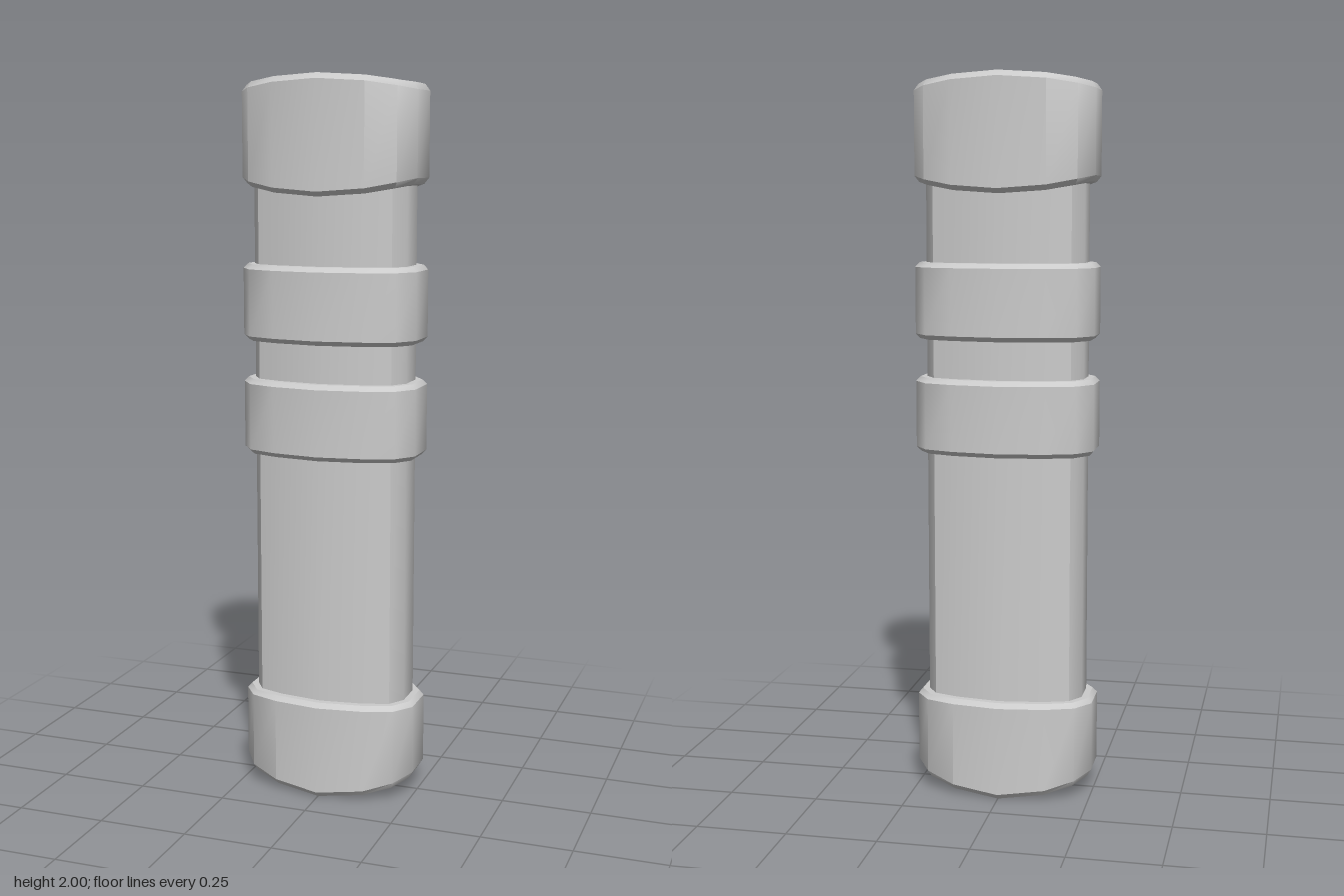
import * as THREE from 'three';
import { toCreasedNormals } from 'three/addons/utils/BufferGeometryUtils.js';

// Quarter outlines [x, z] of the outermost and innermost oval sections
const OUTER = [[0.25, 0.055], [0.21, 0.111], [0.13, 0.14], [0, 0.158]];
const INNER = [[0.207, 0.038], [0.183, 0.077], [0.118, 0.097], [0, 0.113]];
const N = 14;
const BEVEL = 0.28; // blend amounts between outer and inner outline
const TUBE = 0.69;

// One 14-sided ring; lift raises it towards the narrow sides
function ring([t, y, lift = 0]) {
  const quarter = OUTER.map(([x, z], i) => [
    THREE.MathUtils.lerp(x, INNER[i][0], t),
    THREE.MathUtils.lerp(z, INNER[i][1], t),
  ]);
  const back = [...quarter, ...quarter.slice(0, 3).reverse().map(([x, z]) => [-x, z])];
  const outline = [...back.map(([x, z]) => [x, -z]), ...back.slice().reverse()];
  return outline.flatMap(([x, z]) => [x, y + lift * (x / 0.25) ** 2, z]);
}

// Skin a list of rings, optionally closing the first or last ring
function loft(name, rings, material, { capStart = false, capEnd = false } = {}) {
  const index = [];
  for (let i = 0; i < rings.length - 1; i++) {
    for (let j = 0; j < N; j++) {
      const a = i * N + j, b = i * N + (j + 1) % N;
      index.push(a, b, b + N, a, b + N, a + N);
    }
  }
  // Caps are strips running across the oval, so they follow its curve
  for (let j = 0; j < N / 2 - 1; j++) {
    const a = j, b = j + 1, c = N - 2 - j, d = N - 1 - j;
    if (capStart) index.push(a, c, b, a, d, c);
    const o = (rings.length - 1) * N;
    if (capEnd) index.push(o + a, o + b, o + c, o + a, o + c, o + d);
  }
  const geometry = new THREE.BufferGeometry();
  geometry.setAttribute('position', new THREE.Float32BufferAttribute(rings.flatMap(ring), 3));
  geometry.setIndex(index);
  const mesh = new THREE.Mesh(toCreasedNormals(geometry, 0.67), material);
  mesh.name = name;
  return mesh;
}

export function createModel() {
  const group = new THREE.Group();
  group.name = 'sheath';
  const material = new THREE.MeshStandardMaterial({ color: 0xcccccc });

  // Long oval tube
  group.add(loft('body', [[TUBE, 0.25], [TUBE, 1.74]], material));

  // Closed end cap with a curved underside
  group.add(loft('endCap', [
    [BEVEL, 0, 0.055], [0, 0.015, 0.055], [0, 0.265], [BEVEL, 0.278], [TUBE, 0.278],
  ], material, { capStart: true }));

  // Two raised bands
  for (const [name, y] of [['lowerBand', 0.968], ['upperBand', 1.284]]) {
    group.add(loft(name, [
      [TUBE, y], [BEVEL, y], [0, y + 0.013], [0, y + 0.197], [BEVEL, y + 0.21], [TUBE, y + 0.21],
    ], material));
  }

  // Mouth collar, its rim, and the hollow inside down to the floor
  group.add(loft('mouthCollar', [
    [TUBE, 1.68, 0.035], [BEVEL, 1.68, 0.035], [0, 1.693, 0.035],
    [0, 1.985, -0.028], [BEVEL, 2, -0.028], [TUBE, 2, -0.028],
    [1, 1.985, -0.028], [1, 0.06],
  ], material, { capEnd: true }));

  return group;
}
